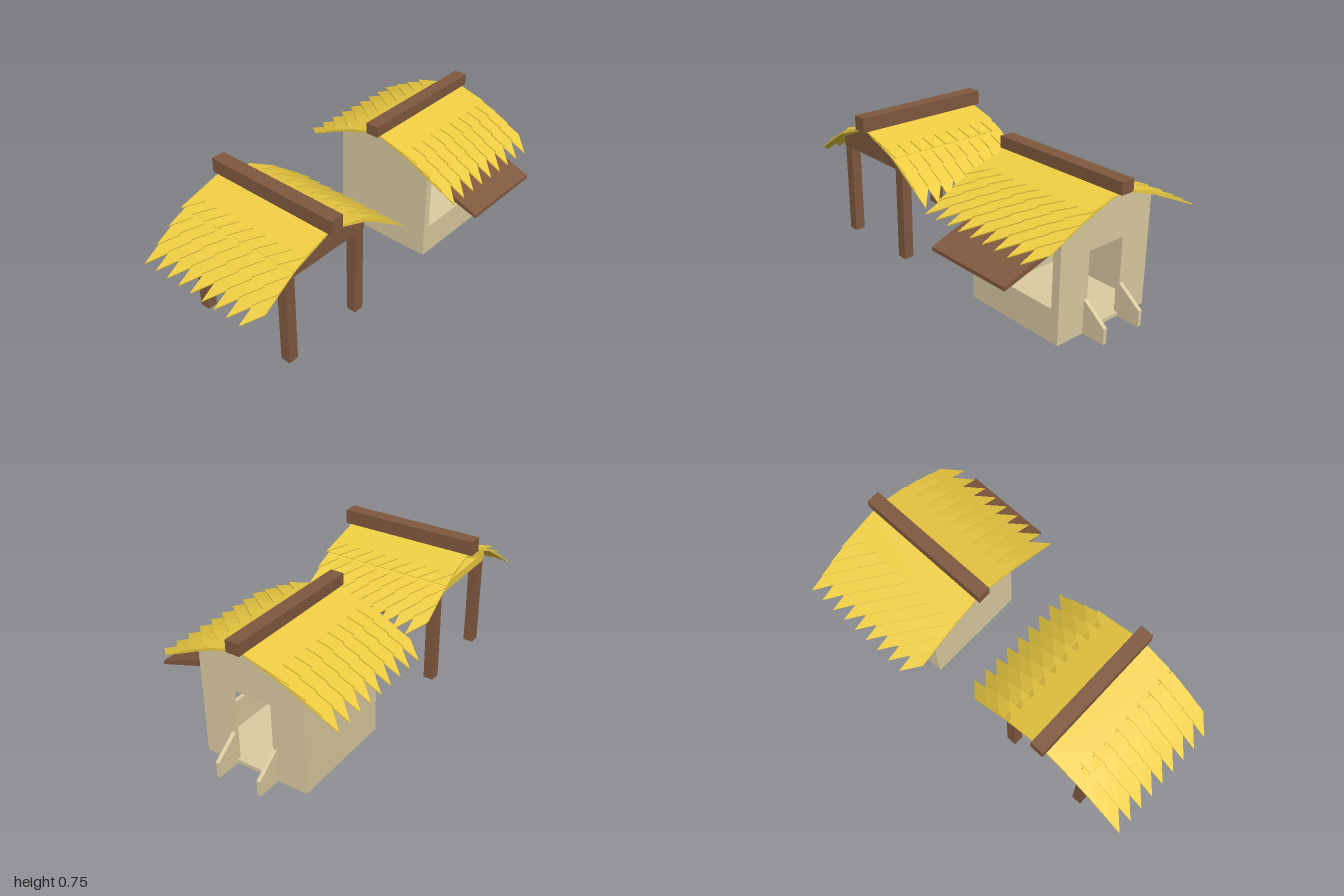
import * as THREE from 'three';

const mat = (color) => new THREE.MeshStandardMaterial({ color, flatShading: true, side: THREE.DoubleSide });
const WOOD = mat(0x80593f), STRAW = mat(0xeecd42), CLAY = mat(0xdccca2);

function add(parent, name, geometry, material, x = 0, y = 0, z = 0) {
  const mesh = new THREE.Mesh(geometry, material);
  mesh.name = name;
  mesh.position.set(x, y, z);
  parent.add(mesh);
  return mesh;
}

// Box given by its min and max corners
function block(parent, name, material, [x0, y0, z0], [x1, y1, z1]) {
  return add(parent, name, new THREE.BoxGeometry(x1 - x0, y1 - y0, z1 - z0), material,
    (x0 + x1) / 2, (y0 + y1) / 2, (z0 + z1) / 2);
}

const shapeOf = (pts) => new THREE.Shape(pts.map(([x, y]) => new THREE.Vector2(x, y)));
const rectHole = (x0, y0, x1, y1) =>
  new THREE.Path([[x0, y0], [x0, y1], [x1, y1], [x1, y0]].map(([x, y]) => new THREE.Vector2(x, y)));
const slab = (shape, depth) => new THREE.ExtrudeGeometry(shape, { depth, bevelEnabled: false });

// Straw layer: flat sheet with a saw-tooth lower edge
function strawSheet(width, length) {
  const teeth = 9, pitch = width / teeth, bite = Math.min(0.1, length * 0.6);
  const pts = [[width / 2, 0], [-width / 2, 0]];
  for (let i = 0; i < teeth; i++) {
    const x = -width / 2 + i * pitch;
    pts.push([x, length], [x + pitch, length - bite]);
  }
  return slab(shapeOf(pts), 0.006);
}

// Gabled straw roof, ridge along local x; two slopes related by a half turn
function thatch(ridgeY, bendY, tipY, lift) {
  const roof = new THREE.Group();
  roof.name = 'thatchRoof';
  const bend = 0.25, reach = 0.515, width = 0.715;
  const height = (d) => d < bend
    ? ridgeY + (bendY - ridgeY) * d / bend
    : bendY + (tipY - bendY) * (d - bend) / (reach - bend);
  // each row: start and tip distance from the ridge, lift at start and at tip
  const rows = [
    [bend, reach, 0, 0],
    [0.2, 0.435, 0.3, 0.35],
    [0.12, 0.355, 0.3, 0.65],
    [0.02, 0.275, 0.1, 0.9],
  ];
  for (const turn of [0, Math.PI]) {
    const slope = new THREE.Group();
    slope.name = 'roofSlope';
    slope.rotation.y = turn;
    rows.forEach(([d0, d1, l0, l1]) => {
      const y0 = height(d0) + l0 * lift, y1 = height(d1) + l1 * lift;
      const sheet = add(slope, 'strawRow', strawSheet(width, Math.hypot(d1 - d0, y1 - y0)), STRAW, 0, y0, d0);
      sheet.rotation.x = Math.PI / 2 + Math.atan2(y0 - y1, d1 - d0);
    });
    // smooth underlay from ridge to bend
    const under = add(slope, 'roofUnderlay',
      new THREE.BoxGeometry(width, 0.006, Math.hypot(bend, ridgeY - bendY)), STRAW,
      0, (ridgeY + bendY) / 2, bend / 2);
    under.rotation.x = Math.atan2(ridgeY - bendY, bend);
    roof.add(slope);
  }
  return roof;
}

function makeHut() {
  const hut = new THREE.Group();
  hut.name = 'hut';
  const x0 = 0.305, x1 = 0.875, z0 = -0.315, z1 = 0.26, mid = -0.0275, t = 0.02;
  const eave = 0.58, apex = 0.685;

  block(hut, 'floor', CLAY, [x0, 0, z0], [x1, 0.02, z1]);
  block(hut, 'backWall', CLAY, [x0, 0, z0], [x1, eave, z0 + t]);

  // front wall with the serving window
  const front = shapeOf([[x0, 0], [x1, 0], [x1, eave], [x0, eave]]);
  front.holes.push(rectHole(0.345, 0.17, 0.83, 0.465));
  add(hut, 'frontWall', slab(front, t), CLAY, 0, 0, z1 - t);

  // gable walls, drawn with shape x = -z; the +x one has the doorway
  const gable = () => shapeOf([[-z1, 0], [-z0, 0], [-z0, eave], [-mid, apex], [-z1, eave]]);
  const doorGable = gable();
  doorGable.holes.push(rectHole(-0.08, 0.02, 0.135, 0.412));
  add(hut, 'doorWall', slab(doorGable, t), CLAY, x1 - t).rotation.y = Math.PI / 2;
  add(hut, 'plainGableWall', slab(gable(), t), CLAY, x0).rotation.y = Math.PI / 2;

  // low side rails beside the door
  const rail = shapeOf([[x1, 0], [1, 0], [1, 0.08], [x1, 0.175]]);
  for (const z of [0.08, -0.155]) add(hut, 'doorRail', slab(rail, 0.02), CLAY, 0, 0, z);

  // awning over the window, tapering outwards
  const awning = shapeOf([[-0.255, 0.447], [-0.255, 0.485], [-0.54, 0.378], [-0.54, 0.36]]);
  add(hut, 'awning', slab(awning, 0.485), WOOD, 0.347).rotation.y = Math.PI / 2;

  block(hut, 'ridgeBeam', WOOD, [0.205, 0.685, -0.065], [0.972, 0.745, 0.007]);
  const roof = thatch(0.69, 0.603, 0.483, 0.03);
  roof.position.set(0.5875, 0, mid);
  hut.add(roof);
  return hut;
}

function makeCanopy() {
  const canopy = new THREE.Group();
  canopy.name = 'canopy';
  const cx = -0.487, cz = -0.0275, w = 0.0275, px = 0.2325, pz = 0.285;

  for (const sx of [-1, 1]) {
    const x = cx + sx * px;
    for (const sz of [-1, 1]) {
      const z = cz + sz * pz;
      block(canopy, 'post', WOOD, [x - w, 0, z - w], [x + w, 0.495, z + w]);
    }
    block(canopy, 'sideBeam', STRAW, [x - w, 0.495, cz - pz - w], [x + w, 0.54, cz + pz - w]);
    // rear rafters up to the ridge
    const rafter = shapeOf([[cx, 0.655], [cx + sx * 0.27, 0.545], [cx + sx * 0.27, 0.505], [cx, 0.615]]);
    add(canopy, 'rafter', slab(rafter, 2 * w), STRAW, 0, 0, cz - pz - w);
  }
  block(canopy, 'rearTieBeam', STRAW, [cx - px, 0.495, cz - pz - w], [cx + px, 0.54, cz - pz + w]);

  // solid front gable
  const panel = shapeOf([[cx - 0.265, 0.495], [cx + 0.265, 0.495], [cx + 0.265, 0.545], [cx, 0.66], [cx - 0.265, 0.545]]);
  add(canopy, 'frontGable', slab(panel, 2 * w), WOOD, 0, 0, cz + pz - w);

  block(canopy, 'ridgeBeam', WOOD, [cx - 0.037, 0.66, -0.412], [cx + 0.037, 0.737, 0.358]);
  const roof = thatch(0.665, 0.572, 0.398, 0.036);
  roof.rotation.y = Math.PI / 2;
  roof.position.set(cx, 0, cz);
  canopy.add(roof);
  return canopy;
}

export function createModel() {
  const model = new THREE.Group();
  model.name = 'hutAndCanopy';
  model.add(makeHut(), makeCanopy());
  return model;
}
